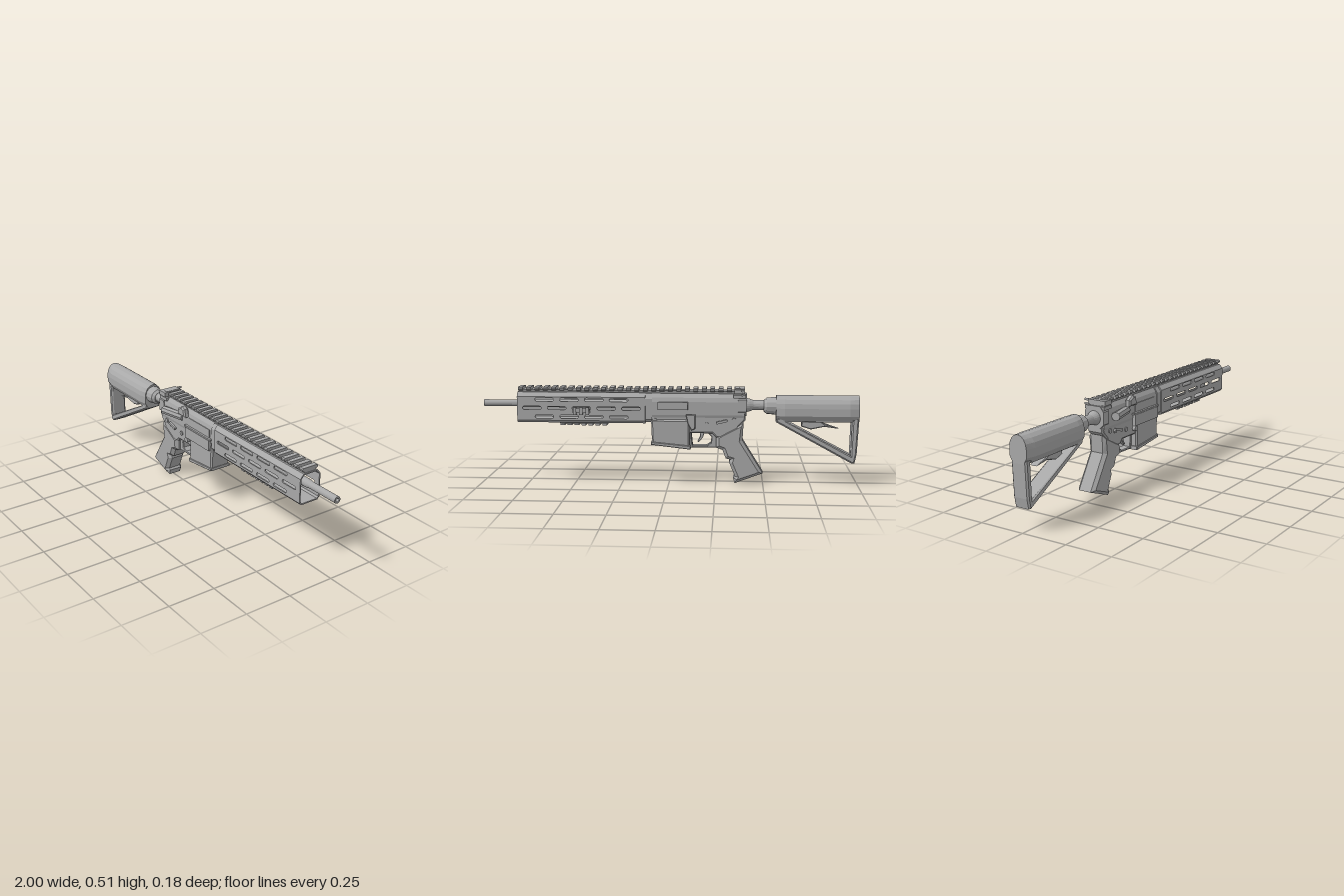
import * as THREE from 'three';

const gray = new THREE.MeshStandardMaterial({ color: 0xa8a8a8, flatShading: true });
gray.name = 'gunmetal gray';

export function createModel() {
  const root = new THREE.Group();
  root.name = 'rifle';
  root.position.z = -0.0105;

  const add = (name, geo, parent = root) => {
    const m = new THREE.Mesh(geo, gray);
    m.name = name;
    parent.add(m);
    return m;
  };
  const group = (name) => {
    const g = new THREE.Group();
    g.name = name;
    root.add(g);
    return g;
  };
  const poly = (pts) => new THREE.Shape(pts.map((p) => new THREE.Vector2(p[0], p[1])));
  const box = (name, x0, x1, y0, y1, z0, z1, parent) => {
    const m = add(name, new THREE.BoxGeometry(x1 - x0, y1 - y0, z1 - z0), parent);
    m.position.set((x0 + x1) / 2, (y0 + y1) / 2, (z0 + z1) / 2);
    return m;
  };
  // side outline (x, y), chamfered along both faces
  const plate = (name, pts, half, bevel = 0.01, holes = [], z = 0) => {
    const s = poly(pts);
    holes.forEach((h) => s.holes.push(poly(h)));
    const geo = new THREE.ExtrudeGeometry(s, {
      depth: 2 * (half - bevel), bevelEnabled: bevel > 0, bevelSize: bevel,
      bevelThickness: bevel, bevelOffset: -bevel, bevelSegments: 1,
    });
    geo.translate(0, 0, z - half + bevel);
    return add(name, geo);
  };
  // cross-section (z, y) swept along x
  const prism = (name, pts, x0, x1, parent) => {
    const geo = new THREE.ExtrudeGeometry(poly(pts.map(([z, y]) => [-z, y])), { depth: x1 - x0, bevelEnabled: false });
    geo.rotateY(Math.PI / 2).translate(x0, 0, 0);
    return add(name, geo, parent);
  };
  const mirrored = (pts) => [...pts, ...pts.slice().reverse().map(([z, y]) => [-z, y])];
  // surface of revolution along x, profile of (x, radius) from back to front
  const turned = (name, pts, y, seg = 20) => {
    const geo = new THREE.LatheGeometry(pts.map(([x, r]) => new THREE.Vector2(r, x)), seg);
    geo.rotateZ(-Math.PI / 2).translate(0, y, 0);
    return add(name, geo);
  };
  // pin or knob across the body
  const pin = (name, x, y, r, z0, z1) => {
    const geo = new THREE.CylinderGeometry(r, r, z1 - z0, 12).rotateX(Math.PI / 2);
    add(name, geo).position.set(x, y, (z0 + z1) / 2);
  };

  // barrel with an open bore
  turned('barrel', [[0.1, 0], [0.1, 0.022], [0.8, 0.022], [0.82, 0.018], [1, 0.018], [1, 0.009], [0.9, 0.009], [0.9, 0]], 0.42);

  // hollow handguard made of eight slotted panels
  const guard = group('handguard');
  const ring = [[0.062, 0.337], [0.062, 0.463], [0.042, 0.486], [-0.042, 0.486],
    [-0.062, 0.463], [-0.062, 0.337], [-0.05, 0.324], [0.05, 0.324]];
  const gx0 = 0.125, gx1 = 0.81, wall = 0.007;
  const slot = (x, y, len, r) => {
    const p = new THREE.Path();
    p.absarc(x + len / 2 - r, y, r, -Math.PI / 2, Math.PI / 2, false);
    p.absarc(x - len / 2 + r, y, r, Math.PI / 2, Math.PI * 1.5, false);
    p.closePath();
    return p;
  };
  ring.forEach((a, i) => {
    const b = ring[(i + 1) % ring.length];
    const dir = new THREE.Vector3(0, b[1] - a[1], b[0] - a[0]);
    const len = dir.length();
    dir.normalize();
    const s = poly([[gx0, 0], [gx1, 0], [gx1, len], [gx0, len]]);
    if (i === 0 || i === 4) {
      [0.02, 0.066, 0.111].forEach((v, row) => {
        const n = row === 1 ? 5 : 4;
        for (let k = 0; k < n; k++) {
          s.holes.push(slot((row === 1 ? 0.2 : 0.266) + k * 0.1325, i === 0 ? v : len - v, 0.1, 0.009));
        }
      });
    }
    const geo = new THREE.ExtrudeGeometry(s, { depth: wall, bevelEnabled: false, curveSegments: 4 });
    geo.translate(0, 0, -wall);
    const ex = new THREE.Vector3(1, 0, 0);
    const m = new THREE.Matrix4().makeBasis(ex, dir, ex.clone().cross(dir));
    m.setPosition(0, a[1], a[0]);
    add('handguardPanel', geo.applyMatrix4(m), guard);
  });

  // top rail with cross teeth
  const rail = group('topRail');
  prism('railBase', mirrored([[0.03, 0.478], [0.036, 0.498]]), -0.4, 0.805, rail);
  for (let i = 0; i < 27; i++) {
    const x = -0.375 + i * 0.0445;
    prism('railTooth', mirrored([[0.036, 0.493], [0.047, 0.499], [0.047, 0.506], [0.042, 0.512]]), x, x + 0.024, rail);
  }
  // short accessory rails below and on the right side
  const lower = group('bottomRail');
  box('railBase', 0.33, 0.585, 0.316, 0.326, -0.03, 0.03, lower);
  for (let i = 0; i < 7; i++) box('railTooth', 0.332 + i * 0.0375, 0.356 + i * 0.0375, 0.308, 0.319, -0.04, 0.04, lower);
  const side = group('sideRail');
  box('railBase', 0.42, 0.51, 0.378, 0.402, -0.07, -0.06, side);
  for (let i = 0; i < 3; i++) box('railTooth', 0.423 + i * 0.034, 0.44 + i * 0.034, 0.37, 0.41, -0.078, -0.066, side);

  // upper receiver
  prism('upperReceiver', mirrored([[0.046, 0.35], [0.052, 0.37], [0.052, 0.44], [0.046, 0.462], [0.03, 0.485]]), -0.4, 0.1);
  prism('barrelNut', mirrored([[0.045, 0.33], [0.056, 0.345], [0.056, 0.455], [0.038, 0.483]]), 0.09, 0.14);
  prism('receiverRearCollar', mirrored([[0.03, 0.365], [0.056, 0.39], [0.056, 0.455], [0.035, 0.482]]), -0.41, -0.365);
  box('ejectionPort', -0.12, 0.07, 0.395, 0.44, 0.05, 0.056);
  box('ejectionPortCover', -0.14, 0.08, 0.325, 0.385, 0.045, 0.068);
  box('coverHinge', -0.15, 0.09, 0.385, 0.393, 0.05, 0.065);
  plate('shellDeflector', [[-0.2, 0.44], [-0.13, 0.44], [-0.14, 0.485], [-0.165, 0.495], [-0.2, 0.475]], 0.017, 0.008, [], 0.058);
  const assist = add('forwardAssist', new THREE.CylinderGeometry(0.023, 0.023, 0.15, 8).rotateZ(Math.PI / 2));
  assist.position.set(-0.26, 0.42, 0.06);
  assist.rotation.y = 0.22;

  // charging handle and folded rear sight
  box('chargingHandle', -0.405, -0.34, 0.462, 0.48, -0.06, 0.055);
  box('rearSightBase', -0.4, -0.345, 0.485, 0.51, -0.045, 0.06);
  pin('sightKnob', -0.385, 0.503, 0.006, -0.074, -0.04);
  pin('sightKnob', -0.385, 0.481, 0.006, -0.074, -0.04);

  // lower receiver and magazine well
  plate('lowerReceiver', [[-0.405, 0.375], [-0.405, 0.345], [-0.37, 0.31], [-0.35, 0.25], [-0.25, 0.25],
    [-0.23, 0.272], [-0.1, 0.272], [0.09, 0.3], [0.1, 0.375]], 0.048, 0.008);
  plate('magazineWell', [[-0.11, 0.345], [-0.11, 0.195], [0.09, 0.215], [0.095, 0.345]], 0.057, 0.008);
  plate('magazineWellLip', [[-0.115, 0.206], [-0.115, 0.186], [0.094, 0.21], [0.094, 0.226]], 0.062, 0.003);
  plate('triggerGuard', [[-0.27, 0.28], [-0.27, 0.193], [-0.11, 0.19], [-0.1, 0.28]], 0.024, 0.004,
    [[[-0.205, 0.272], [-0.225, 0.25], [-0.222, 0.218], [-0.2, 0.202], [-0.125, 0.202], [-0.118, 0.272]]]);
  plate('trigger', [[-0.19, 0.28], [-0.16, 0.28], [-0.165, 0.25], [-0.15, 0.222], [-0.158, 0.218], [-0.18, 0.245]], 0.01, 0.002);
  for (const [x, y] of [[-0.3, 0.335], [-0.2, 0.32], [0.075, 0.34], [-0.345, 0.345]]) {
    pin('receiverPin', x, y, 0.012, -0.054, 0.054);
  }

  // controls on both sides
  for (const s of [-1, 1]) {
    const lever = box('selectorLever', -0.31, -0.25, 0.33, 0.343, -0.006, 0.006);
    lever.position.z = s * 0.056;
    lever.rotation.z = -0.25;
  }
  pin('magazineRelease', -0.13, 0.31, 0.014, 0.05, 0.068);
  plate('boltCatch', [[-0.14, 0.375], [-0.09, 0.375], [-0.1, 0.33], [-0.12, 0.29], [-0.14, 0.3]], 0.01, 0.003, [], -0.06);
  box('receiverSidePanel', -0.1, 0.06, 0.4, 0.44, -0.068, -0.045);

  // grip
  plate('pistolGrip', [[-0.395, 0.33], [-0.39, 0.235], [-0.5, 0.058], [-0.35, 0.002], [-0.343, 0.03], [-0.352, 0.04],
    [-0.32, 0.115], [-0.325, 0.13], [-0.302, 0.137], [-0.285, 0.182], [-0.25, 0.195], [-0.25, 0.26]], 0.052, 0.017);

  // buffer tube flaring into the receiver
  turned('bufferTube', [[-0.7, 0], [-0.7, 0.026], [-0.445, 0.026], [-0.425, 0.034], [-0.4, 0.04], [-0.4, 0]], 0.42);
  turned('stockCollar', [[-0.58, 0], [-0.58, 0.05], [-0.555, 0.047], [-0.515, 0.043], [-0.5, 0.03], [-0.5, 0]], 0.417, 12);

  // shoulder stock: rounded body tapering at both ends
  const section = (k) => {
    const pts = [];
    for (let i = 0; i <= 8; i++) {
      const a = (i / 8) * Math.PI;
      pts.push([Math.cos(a) * 0.062 * k, 0.41 + Math.sin(a) * 0.065]);
    }
    pts.push([-0.062 * k, 0.37], [-0.04 * k, 0.337], [0.04 * k, 0.337], [0.062 * k, 0.37]);
    return pts;
  };
  const stations = [[-1, 0.8], [-0.95, 1], [-0.61, 1], [-0.565, 0.85]];
  const verts = [], idx = [];
  const n = section(1).length;
  stations.forEach(([x, k]) => section(k).forEach(([z, y]) => verts.push(x, y, z)));
  for (let s = 0; s < stations.length - 1; s++) {
    for (let j = 0; j < n; j++) {
      const a = s * n + j, b = s * n + (j + 1) % n;
      idx.push(a, a + n, b, b, a + n, b + n);
    }
  }
  const last = (stations.length - 1) * n;
  for (let j = 1; j < n - 1; j++) idx.push(0, j, j + 1, last, last + j + 1, last + j);
  const body = new THREE.BufferGeometry();
  body.setAttribute('position', new THREE.Float32BufferAttribute(verts, 3));
  body.setIndex(idx);
  const flat = body.toNonIndexed();
  flat.computeVertexNormals();
  add('stockBody', flat);

  // butt and diagonal strut around a triangular opening
  plate('stockFrame', [[-1, 0.36], [-0.992, 0.17], [-0.982, 0.118], [-0.965, 0.118], [-0.565, 0.335], [-0.565, 0.36]], 0.045, 0.008,
    [[[-0.963, 0.338], [-0.96, 0.16], [-0.62, 0.338]]]);
  plate('stockLever', [[-0.895, 0.3], [-0.82, 0.325], [-0.79, 0.345], [-0.7, 0.345], [-0.7, 0.31], [-0.75, 0.295], [-0.82, 0.31]], 0.022, 0.004);

  return root;
}
